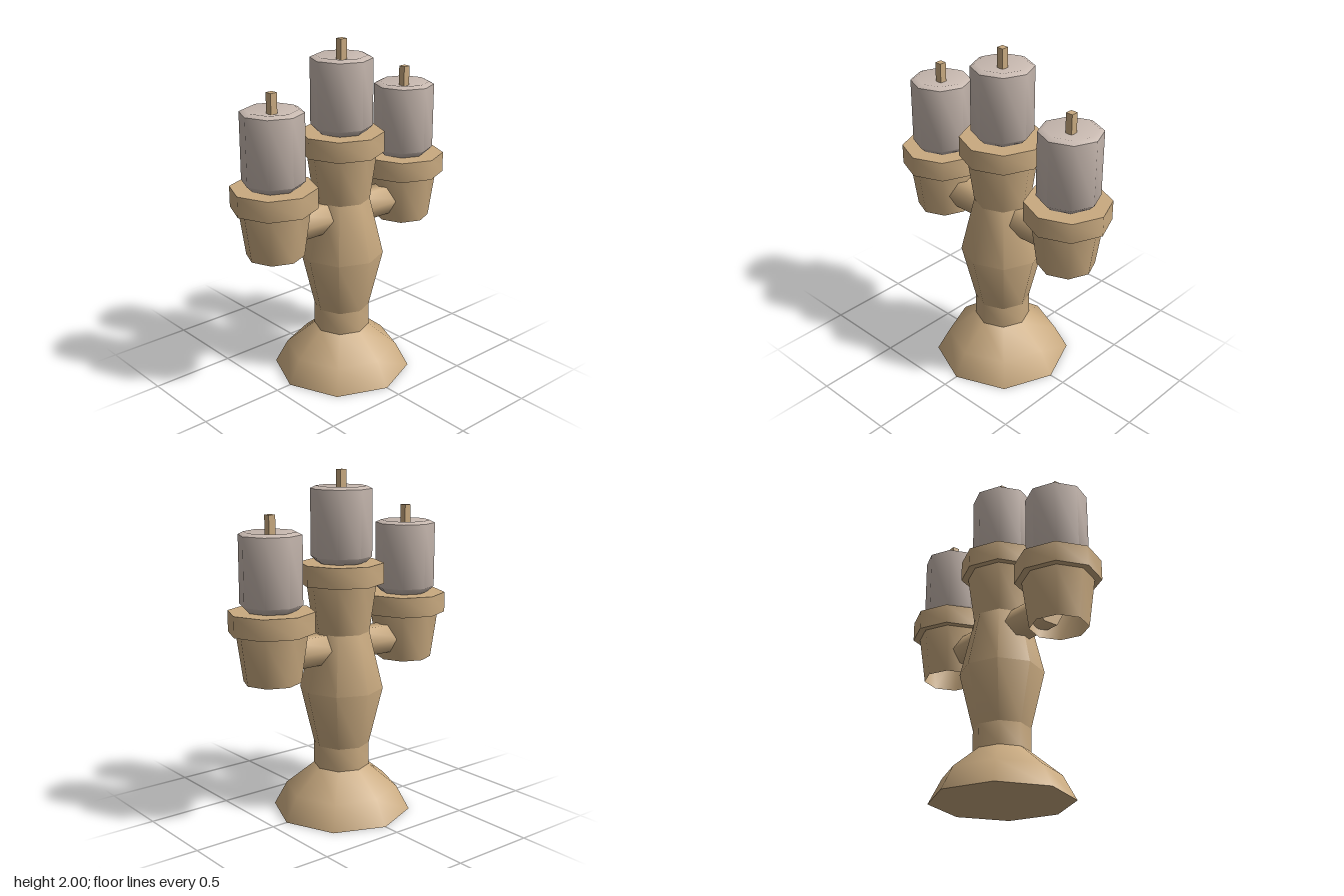
import * as THREE from 'three';
import { toCreasedNormals } from 'three/addons/utils/BufferGeometryUtils.js';

const clay = new THREE.MeshStandardMaterial({ color: 0xc9aa80, side: THREE.DoubleSide });
clay.name = 'tan clay';
const wax = new THREE.MeshStandardMaterial({ color: 0xc9bab1 });
wax.name = 'pale wax';

// Eight-sided turned part from [radius, height] points, listed bottom to top
function turned(name, points, material) {
  const profile = points.map(([r, y]) => new THREE.Vector2(r, y));
  const geometry = toCreasedNormals(new THREE.LatheGeometry(profile, 8), THREE.MathUtils.degToRad(48));
  const mesh = new THREE.Mesh(geometry, material);
  mesh.name = name;
  return mesh;
}

// Cup open underneath, with a thick rim, a candle and a square wick
function candleCup(name, x, y) {
  const group = new THREE.Group();
  group.name = name;
  group.position.set(x, y, 0);
  group.add(turned('cup', [[0.163, 0], [0.202, 0.28], [0.243, 0.28], [0.243, 0.398], [0, 0.398]], clay));
  group.add(turned('candle', [
    [0, 0.4], [0.14, 0.4], [0.176, 0.435], [0.176, 0.815], [0.145, 0.83], [0, 0.8],
  ], wax));
  const wick = new THREE.Mesh(new THREE.BoxGeometry(0.042, 0.13, 0.042), clay);
  wick.name = 'wick';
  wick.position.y = 0.855;
  group.add(wick);
  return group;
}

export function createModel() {
  const model = new THREE.Group();
  model.name = 'candelabra';

  // Foot, neck and swelling column
  model.add(turned('foot', [[0, 0], [0.405, 0], [0.33, 0.14], [0.163, 0.275]], clay));
  model.add(turned('neck', [[0.163, 0.275], [0.163, 0.41]], clay));
  model.add(turned('column', [[0.163, 0.41], [0.243, 0.745], [0.163, 1.08]], clay));

  model.add(candleCup('centreCup', 0, 1.08));

  // Side arms are hexagonal bars whose ends reach into the outer cups
  for (const side of [-1, 1]) {
    const bar = new THREE.CylinderGeometry(0.096, 0.096, 0.38, 6);
    const arm = new THREE.Mesh(toCreasedNormals(bar, THREE.MathUtils.degToRad(65)), clay);
    arm.name = side > 0 ? 'leftArm' : 'rightArm';
    arm.rotation.z = Math.PI / 2;
    arm.position.set(side * 0.23, 0.995, 0);
    model.add(arm);
    model.add(candleCup(side > 0 ? 'leftCup' : 'rightCup', side * 0.488, 0.858));
  }
  return model;
}
